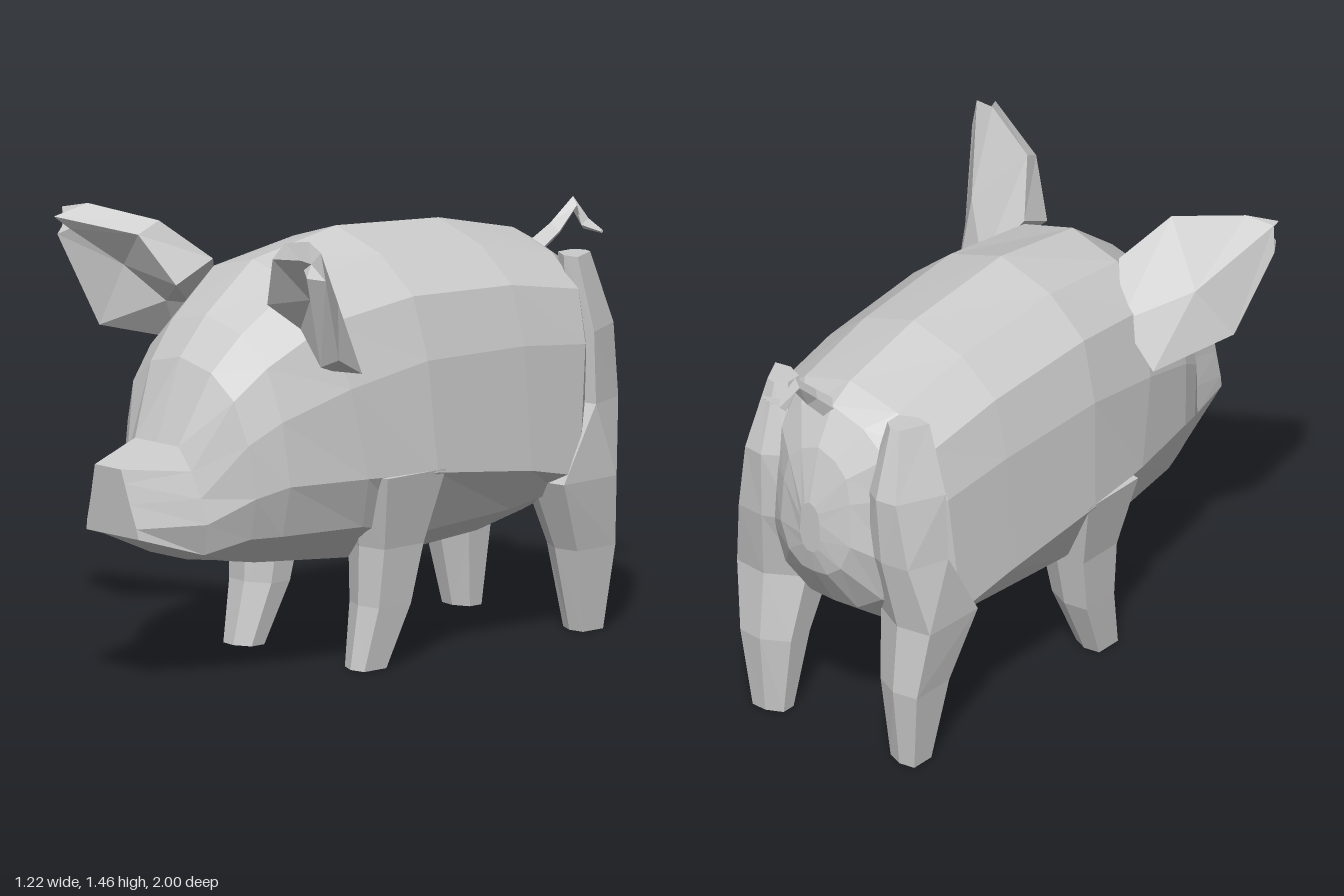
import * as THREE from 'three';

const material = new THREE.MeshStandardMaterial({ color: 0xcccccc, flatShading: true });

// Closed faceted skin through equal-length rings of [x, y, z] points.
function loft(name, rings) {
  const n = rings[0].length;
  const tris = [];
  const centre = (ring) => [0, 1, 2].map((k) => ring.reduce((s, p) => s + p[k], 0) / n);
  for (let i = 0; i < rings.length - 1; i++) {
    for (let j = 0; j < n; j++) {
      const k = (j + 1) % n;
      const a = rings[i][j], b = rings[i][k], c = rings[i + 1][k], d = rings[i + 1][j];
      tris.push([a, b, c], [a, c, d]);
    }
  }
  const first = rings[0], last = rings[rings.length - 1];
  const c0 = centre(first), c1 = centre(last);
  for (let j = 0; j < n; j++) {
    const k = (j + 1) % n;
    tris.push([c0, first[k], first[j]], [c1, last[j], last[k]]);
  }
  // Turn every face outwards, whichever way the rings run
  const va = new THREE.Vector3(), vb = new THREE.Vector3(), vc = new THREE.Vector3();
  let volume = 0;
  for (const [a, b, c] of tris) {
    volume += va.fromArray(a).dot(vb.fromArray(b).cross(vc.fromArray(c)));
  }
  if (volume < 0) tris.forEach((t) => t.reverse());
  const geometry = new THREE.BufferGeometry();
  geometry.setAttribute('position', new THREE.Float32BufferAttribute(tris.flat(2), 3));
  geometry.computeVertexNormals();
  const mesh = new THREE.Mesh(geometry, material);
  mesh.name = name;
  return mesh;
}

const SHIFT = 0.012; // the trunk sits slightly to its left
const lerp = THREE.MathUtils.lerp;

// Half outlines from top to bottom: [share of half width, share of height]
const TRUNK = [[0, 1], [0.48, 0.94], [0.82, 0.83], [0.95, 0.64], [1, 0.3], [0.74, 0.1], [0.36, 0.01], [0, 0]];
const HEAD = [[0, 1], [0.48, 0.95], [0.8, 0.83], [0.96, 0.62], [1, 0.36], [0.84, 0.15], [0.42, 0.02], [0, 0]];
const MUZZLE = [[0, 1], [0.5, 1], [0.74, 0.8], [0.9, 0.57], [1, 0.35], [0.84, 0.07], [0.42, 0], [0, 0]];
const SNOUT = [[0, 1], [0.5, 1], [0.6, 0.8], [0.75, 0.5], [0.95, 0.15], [1, 0], [0.45, 0], [0, 0]];
const FLANK = 4; // index of the widest point

// One leaning body section; flank moves the widest point up or down
function section([outline, zTop, yTop, zBottom, yBottom, w, flank = outline[FLANK][1]]) {
  const half = outline.map(([x, share], i) => {
    const t = i === FLANK ? flank : share;
    return [x * w, lerp(yBottom, yTop, t), lerp(zBottom, zTop, t)];
  });
  const other = half.slice(1, -1).reverse().map(([x, y, z]) => [-x, y, z]);
  return [...half, ...other].map(([x, y, z]) => [x + SHIFT, y, z]);
}

// Leg ring: a hexagon inside the given x and z limits; heel draws in its outer back corner
function leg(name, side, levels) {
  return loft(name, levels.map(([y, x0, x1, z0, z1, heel = 1]) =>
    [[heel, 0.06], [1, 0.92], [0.5, 1], [0, 0.75], [0, 0.25], [heel / 2, 0]].map(([u, v]) =>
      [side * lerp(x0, x1, u) + SHIFT, y, lerp(z0, z1, v)])));
}

// Ear sections: top back, top front, fold, bottom front, bottom back, back ridge
const EAR = [
  [[0.19, 1.27, 0.36], [0.21, 1.2, 0.5], [0.31, 1.13, 0.45], [0.36, 0.99, 0.36], [0.4, 0.975, 0.27], [0.28, 1.12, 0.26]],
  [[0.29, 1.4, 0.5], [0.31, 1.36, 0.57], [0.43, 1.24, 0.52], [0.51, 1.04, 0.55], [0.54, 1.06, 0.5], [0.45, 1.22, 0.42]],
  [[0.51, 1.44, 0.6], [0.57, 1.4, 0.69], [0.54, 1.36, 0.65], [0.575, 1.34, 0.67], [0.608, 1.33, 0.62], [0.597, 1.42, 0.63]],
];
const ear = (name, side, lift) =>
  loft(name, EAR.map((ring, i) => ring.map(([x, y, z]) => [side * x, y + lift * i, z])));

// Curly tail: diamond rings along a bent path [x, y, z, radius]
function tail() {
  const path = [
    [0.02, 1.16, -0.8, 0.035], [0.06, 1.235, -0.875, 0.028], [0.07, 1.305, -0.945, 0.025],
    [0.09, 1.24, -0.98, 0.022], [0.18, 1.23, -0.965, 0.006],
  ];
  const points = path.map(([x, y, z]) => new THREE.Vector3(x, y, z));
  return loft('tail', path.map(([, , , r], i) => {
    const dir = points[Math.min(i + 1, path.length - 1)].clone().sub(points[Math.max(i - 1, 0)]).normalize();
    const u = i < 3 ? new THREE.Vector3(1, 0, 0) : new THREE.Vector3(0, 0, 1);
    u.projectOnPlane(dir).normalize();
    const v = dir.clone().cross(u);
    return [0, 1, 2, 3].map((k) => {
      const a = (k * Math.PI) / 2;
      return points[i].clone().addScaledVector(u, r * Math.cos(a)).addScaledVector(v, r * Math.sin(a)).toArray();
    });
  }));
}

export function createModel() {
  const group = new THREE.Group();
  group.name = 'pig';

  // Snout, head, trunk and rump: outline, zTop, yTop, zBottom, yBottom, half width, flank
  group.add(loft('body', [
    [SNOUT, 1.0, 0.72, 0.98, 0.5, 0.12],
    [MUZZLE, 0.79, 0.77, 0.74, 0.4, 0.2],
    [HEAD, 0.69, 1.03, 0.6, 0.37, 0.29],
    [HEAD, 0.58, 1.15, 0.5, 0.35, 0.335],
    [HEAD, 0.38, 1.3, 0.18, 0.32, 0.39, 0.32],
    [TRUNK, 0.02, 1.36, -0.05, 0.305, 0.418],
    [TRUNK, -0.42, 1.325, -0.45, 0.33, 0.405, 0.24],
    [TRUNK, -0.74, 1.25, -0.65, 0.37, 0.388, 0.17],
    [TRUNK, -0.83, 1.2, -0.82, 0.49, 0.26],
    [TRUNK, -0.9, 1.08, -0.92, 0.64, 0.14],
    [TRUNK, -0.945, 0.9, -0.94, 0.72, 0.04],
  ].map(section)));

  // Legs: y, inner x, outer x, back z, front z, heel
  const frontLevels = [
    [0, 0.215, 0.325, 0.1, 0.21],
    [0.2, 0.18, 0.345, 0.01, 0.17],
    [0.39, 0.16, 0.362, -0.03, 0.165],
    [0.63, 0.15, 0.418, -0.08, 0.21],
  ];
  const rearLevels = [
    [0, 0.215, 0.325, -0.83, -0.73],
    [0.27, 0.18, 0.355, -0.86, -0.67],
    [0.5, 0.15, 0.395, -0.84, -0.57, 0.97],
    [0.74, 0.14, 0.39, -0.885, -0.72, 0.8],
    [0.97, 0.16, 0.38, -0.9, -0.72, 0.65],
    [1.2, 0.2, 0.31, -0.83, -0.72, 0.6],
  ];
  for (const [label, side, lift] of [['left', 1, 0.01], ['right', -1, -0.003]]) {
    group.add(leg(label + 'FrontLeg', side, frontLevels));
    group.add(leg(label + 'RearLeg', side, rearLevels));
    group.add(ear(label + 'Ear', side, lift));
  }
  group.add(tail());
  return group;
}
